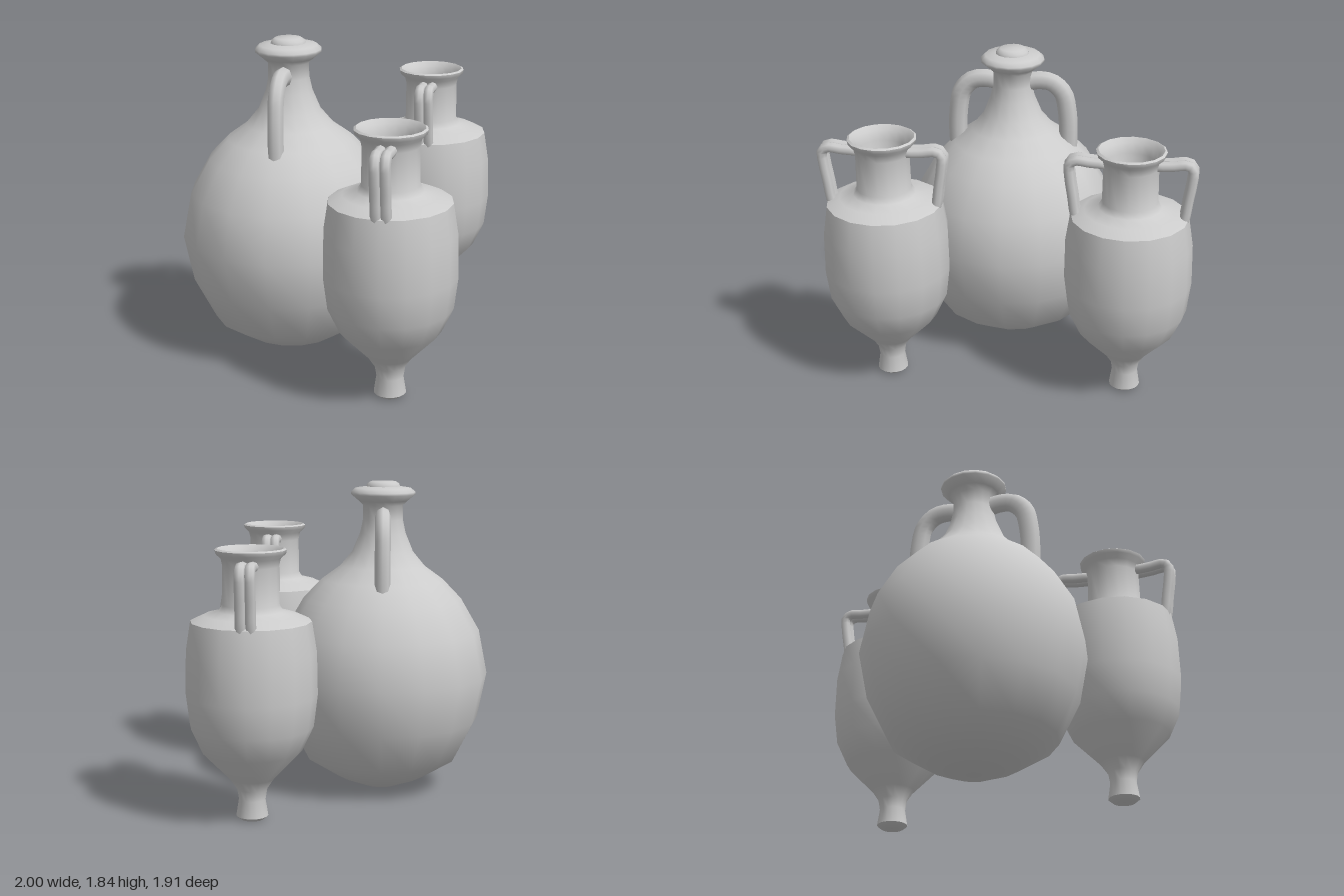
import * as THREE from 'three';
import { toCreasedNormals } from 'three/addons/utils/BufferGeometryUtils.js';

const grey = new THREE.MeshStandardMaterial({ color: 0xcccccc });
const SIDES = 16;
const TURN = THREE.MathUtils.degToRad(27);

// Wheel-thrown body from [radius, height] pairs, bottom to top
function turned(name, profile) {
  const points = profile.map(([r, y]) => new THREE.Vector2(r, y));
  const mesh = new THREE.Mesh(toCreasedNormals(new THREE.LatheGeometry(points, SIDES), 0.95), grey);
  mesh.name = name;
  return mesh;
}

// Tube strand bent in the x-y plane, offset and squashed in z
function strand(path, radius, offset, squash) {
  const curve = new THREE.CatmullRomCurve3(path.map(([x, y]) => new THREE.Vector3(x, y, 0)));
  const geometry = new THREE.TubeGeometry(curve, 18, radius, 8);
  geometry.scale(1, 1, squash);
  geometry.translate(0, 0, offset);
  geometry.computeVertexNormals();
  return new THREE.Mesh(toCreasedNormals(geometry, 1), grey);
}

// Opposite pair of handles; each offset adds one strand
function addHandles(jar, path, radius, offsets, squash) {
  for (const side of ['left', 'right']) {
    const handle = new THREE.Group();
    handle.name = side + 'Handle';
    for (const z of offsets) handle.add(strand(path, radius, z, squash));
    if (side === 'right') handle.rotation.y = Math.PI;
    jar.add(handle);
  }
}

// Slender open amphora with a narrow foot and strap handles
function createAmphora(name, x, z) {
  const jar = new THREE.Group();
  jar.name = name;
  jar.add(turned('amphoraBody', [
    [0, 0.005], [0.065, 0.005], [0.09, 0.025], [0.075, 0.12], [0.085, 0.18], [0.125, 0.24],
    [0.28, 0.40], [0.345, 0.54], [0.367, 0.72], [0.362, 0.96], [0.335, 1.13],
    [0.26, 1.165], [0.18, 1.185], [0.158, 1.22], [0.155, 1.43], [0.165, 1.475],
    [0.193, 1.50], [0.198, 1.522], [0.185, 1.53], [0.155, 1.505], [0.135, 1.45],
    [0.125, 1.28], [0.08, 1.2], [0, 1.2],
  ]));
  addHandles(jar, [
    [0.145, 1.445], [0.23, 1.45], [0.31, 1.458], [0.342, 1.435],
    [0.34, 1.36], [0.322, 1.24], [0.31, 1.15], [0.295, 1.09],
  ], 0.03, [-0.027, 0.027], 1);
  jar.position.set(x, 0, z);
  jar.rotation.y = TURN;
  return jar;
}

// Large round-bellied jar with a stopper and round handles
function createLargeJar(x, z) {
  const jar = new THREE.Group();
  jar.name = 'largeJar';
  jar.add(turned('largeJarBody', [
    [0, 0.005], [0.11, 0.005], [0.27, 0.07], [0.46, 0.19], [0.58, 0.43], [0.632, 0.70],
    [0.58, 0.96], [0.47, 1.15], [0.36, 1.265], [0.25, 1.345], [0.18, 1.43],
    [0.135, 1.54], [0.118, 1.62], [0.118, 1.705], [0.145, 1.73], [0.19, 1.768],
    [0.19, 1.782], [0.165, 1.805], [0.1, 1.815],
  ]));
  jar.add(turned('stopper', [[0.1, 1.81], [0.095, 1.83], [0.075, 1.844], [0, 1.846]]));
  addHandles(jar, [
    [0.07, 1.63], [0.16, 1.648], [0.24, 1.635], [0.305, 1.57],
    [0.33, 1.46], [0.338, 1.34], [0.335, 1.2],
  ], 0.057, [0], 0.8);
  jar.position.set(x, 0, z);
  jar.rotation.y = TURN;
  return jar;
}

export function createModel() {
  const model = new THREE.Group();
  model.name = 'jarGroup';
  model.add(
    createLargeJar(-0.37, -0.33),
    createAmphora('frontAmphora', -0.635, 0.585),
    createAmphora('sideAmphora', 0.63, -0.035),
  );
  return model;
}
